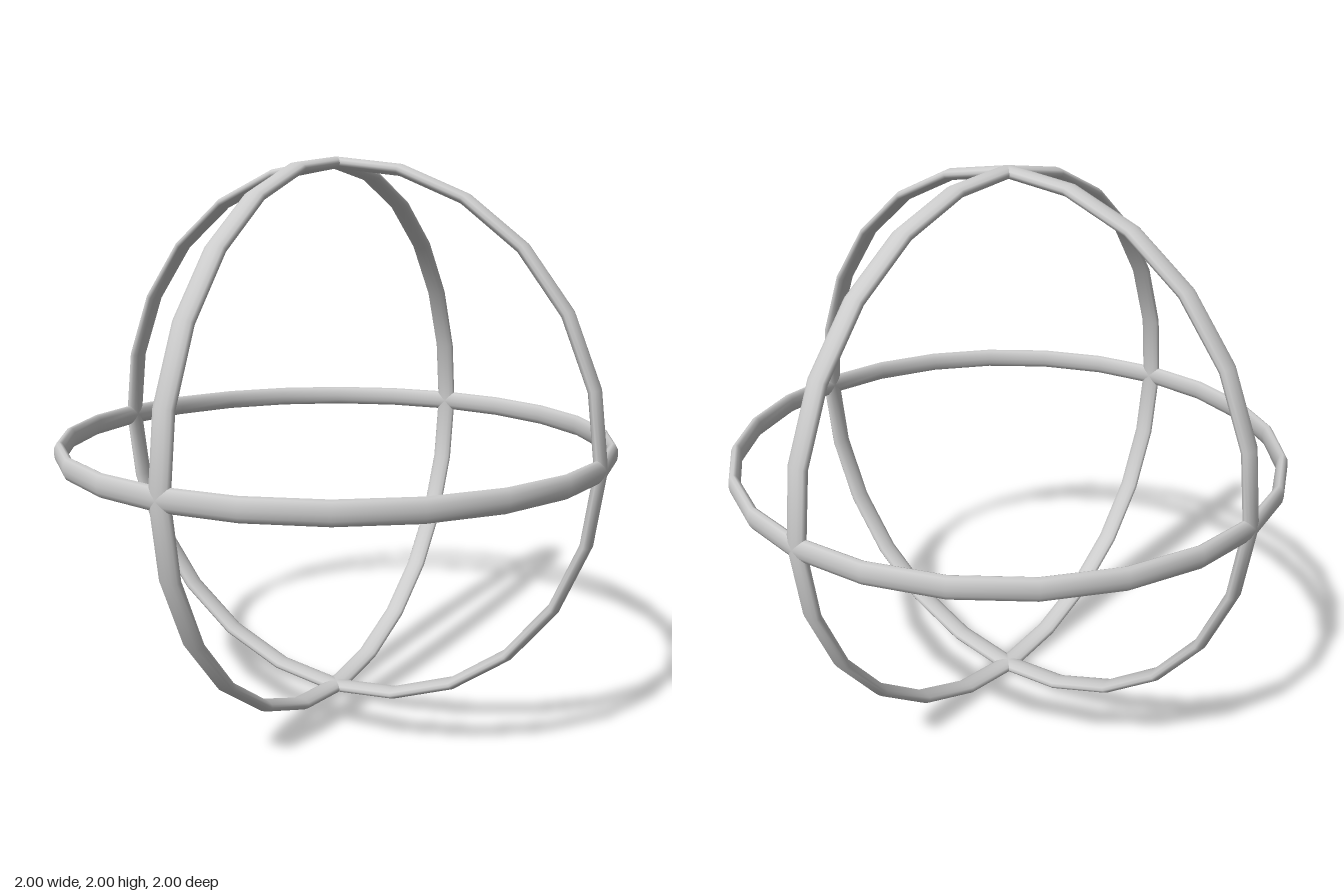
import * as THREE from 'three';

// Three identical hoops crossing at right angles, forming an open sphere.
export function createModel() {
  const group = new THREE.Group();
  const material = new THREE.MeshStandardMaterial({ color: 0xcccccc });

  // Hoop with an oval section: twice as wide along its axis as it is thick
  const hoop = new THREE.TorusGeometry(0.98, 0.02, 12, 24);
  hoop.scale(1, 1, 1.95);

  const hoops = [
    ['frontHoop', 0, 0],
    ['sideHoop', 0, Math.PI / 2],
    ['equatorHoop', Math.PI / 2, 0],
  ];
  for (const [name, rx, ry] of hoops) {
    const mesh = new THREE.Mesh(hoop, material);
    mesh.name = name;
    mesh.rotation.set(rx, ry, 0);
    mesh.position.y = 1;
    group.add(mesh);
  }
  return group;
}
